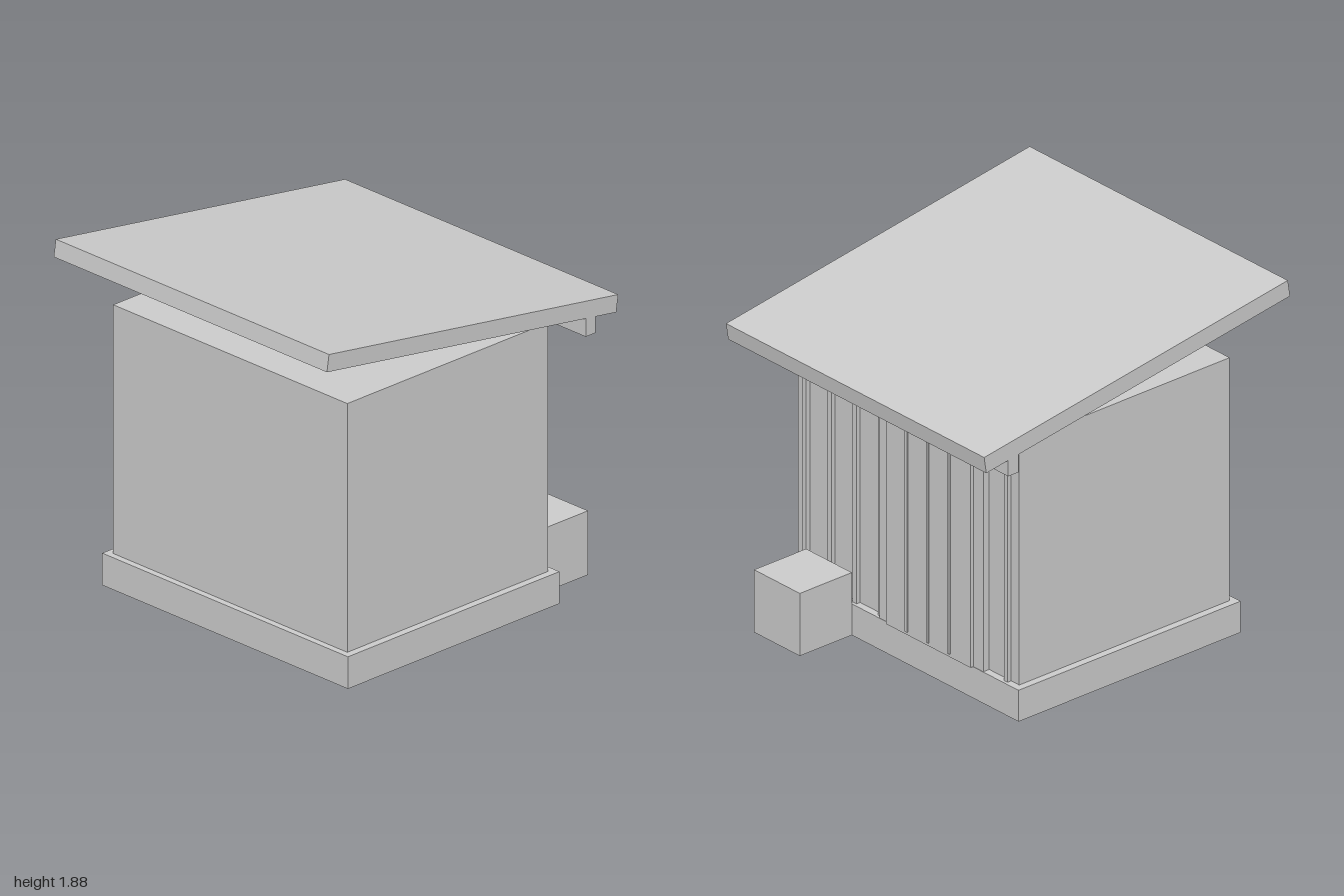
import * as THREE from 'three';

const material = new THREE.MeshStandardMaterial({ color: 0xcccccc, flatShading: true });

// Box given by its min and max on each axis
function block(name, [x0, x1], [y0, y1], [z0, z1]) {
  const mesh = new THREE.Mesh(new THREE.BoxGeometry(x1 - x0, y1 - y0, z1 - z0), material);
  mesh.position.set((x0 + x1) / 2, (y0 + y1) / 2, (z0 + z1) / 2);
  mesh.name = name;
  return mesh;
}

export function createModel() {
  const model = new THREE.Group();
  model.name = 'shed';

  // Foundation slab, walls and the step block behind
  model.add(block('foundation', [-0.85, 0.85], [0, 0.17], [-0.665, 0.765]));
  model.add(block('walls', [-0.81, 0.81], [0.17, 1.49], [-0.625, 0.73]));
  model.add(block('stepBlock', [0.37, 0.705], [0, 0.34], [-1, -0.665]));

  // Vertical battens across the back wall
  const battens = new THREE.Group();
  battens.name = 'wallBattens';
  for (let i = 0; i < 9; i++) {
    const x = -0.737 + i * 0.1843;
    battens.add(block('batten', [x - 0.014, x + 0.014], [0.17, 1.455], [-0.648, -0.62]));
  }
  model.add(battens);

  // Door: frame, leaf and thin strips
  const door = new THREE.Group();
  door.name = 'door';
  const cx = -0.21;
  door.add(block('doorFrame', [cx - 0.38, cx + 0.38], [0.17, 1.42], [-0.663, -0.62]));
  door.add(block('doorLeaf', [cx - 0.31, cx + 0.31], [0.172, 1.355], [-0.684, -0.66]));
  for (let i = -1; i <= 1; i++) {
    const x = cx + i * 0.1545;
    door.add(block('doorStrip', [x - 0.008, x + 0.008], [0.19, 1.345], [-0.692, -0.68]));
  }
  model.add(door);

  // Sloping roof slab, high at the front
  const roof = new THREE.Mesh(new THREE.BoxGeometry(1.89, 0.091, 1.978), material);
  roof.name = 'roof';
  roof.position.set(0, 1.68, 0.015);
  roof.rotation.x = -0.1523;
  model.add(roof);

  // Beam hanging under the rear eave
  model.add(block('eaveBeam', [-0.945, 0.945], [1.42, 1.54], [-0.815, -0.75]));

  return model;
}
